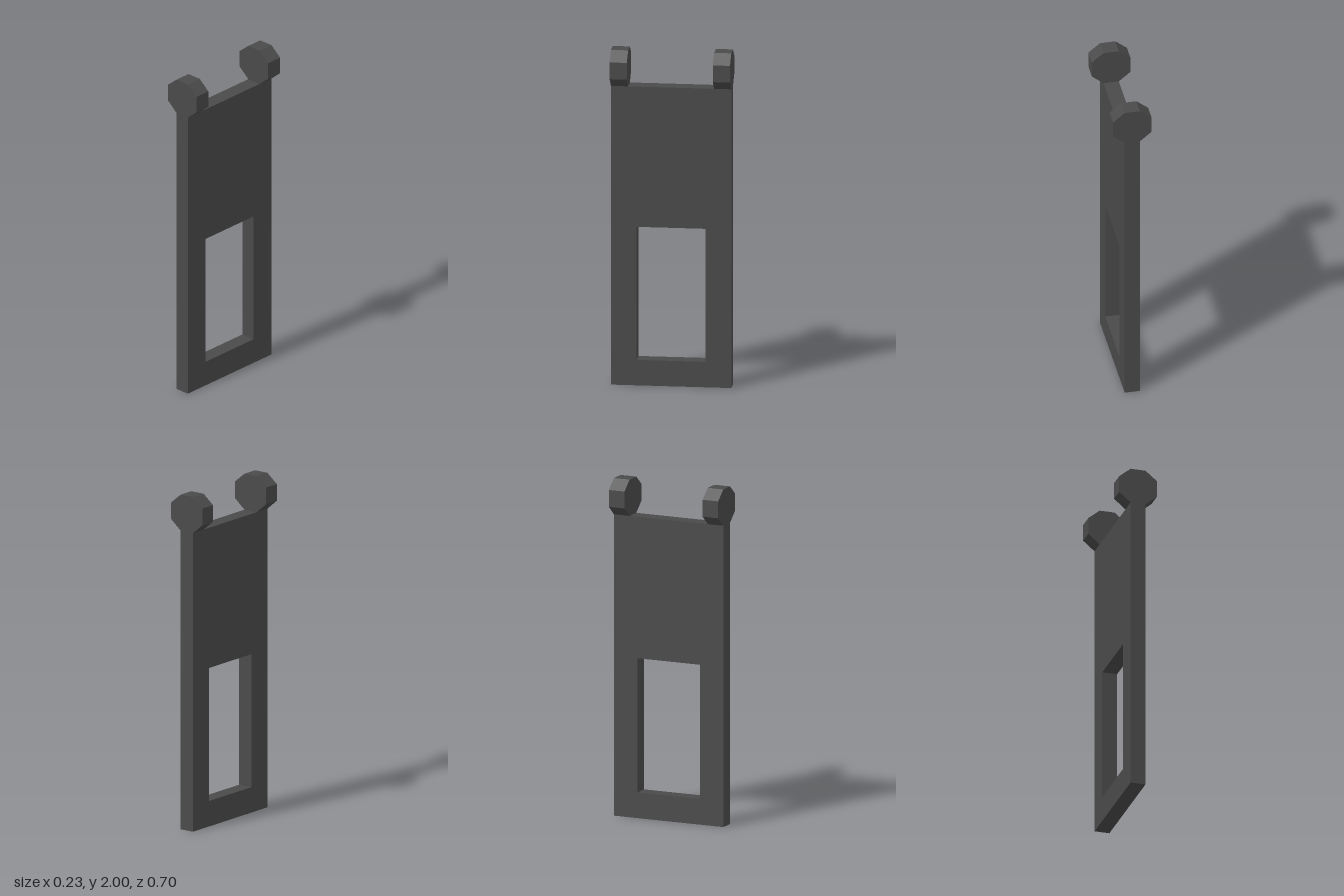
import * as THREE from 'three';

export function createModel() {
  const model = new THREE.Group();
  const darkGrey = new THREE.MeshStandardMaterial({ color: 0x4a4a4a });
  darkGrey.name = 'darkGrey';

  const halfThick = 0.045, halfWidth = 0.35, plateTop = 1.785;

  const polygon = (points, Type = THREE.Shape) =>
    new Type(points.map(([x, y]) => new THREE.Vector2(x, y)));
  const rectangle = (w, y0, y1, Type) =>
    polygon([[-w, y0], [w, y0], [w, y1], [-w, y1]], Type);

  // Flat plate with a rectangular opening, extruded across its thickness
  const outline = rectangle(halfWidth, 0, plateTop);
  outline.holes.push(rectangle(0.2, 0.152, 0.947, THREE.Path));
  const plateGeometry = new THREE.ExtrudeGeometry(outline, { depth: halfThick * 2, bevelEnabled: false });
  plateGeometry.translate(0, 0, -halfThick).rotateY(-Math.PI / 2);
  const plate = new THREE.Mesh(plateGeometry, darkGrey);
  plate.name = 'plate';
  model.add(plate);

  // Octagonal hinge knuckles on the two top corners
  const knuckleShape = polygon([
    [-halfThick, plateTop], [halfThick, plateTop], [0.114, 1.843], [0.114, 1.943],
    [halfThick, 2], [-halfThick, 2], [-0.114, 1.943], [-0.114, 1.843],
  ]);
  const knuckleGeometry = new THREE.ExtrudeGeometry(knuckleShape, { depth: 0.1, bevelEnabled: false });
  for (const [name, z] of [['frontKnuckle', halfWidth - 0.1], ['backKnuckle', -halfWidth]]) {
    const knuckle = new THREE.Mesh(knuckleGeometry, darkGrey);
    knuckle.name = name;
    knuckle.position.z = z;
    model.add(knuckle);
  }

  return model;
}
